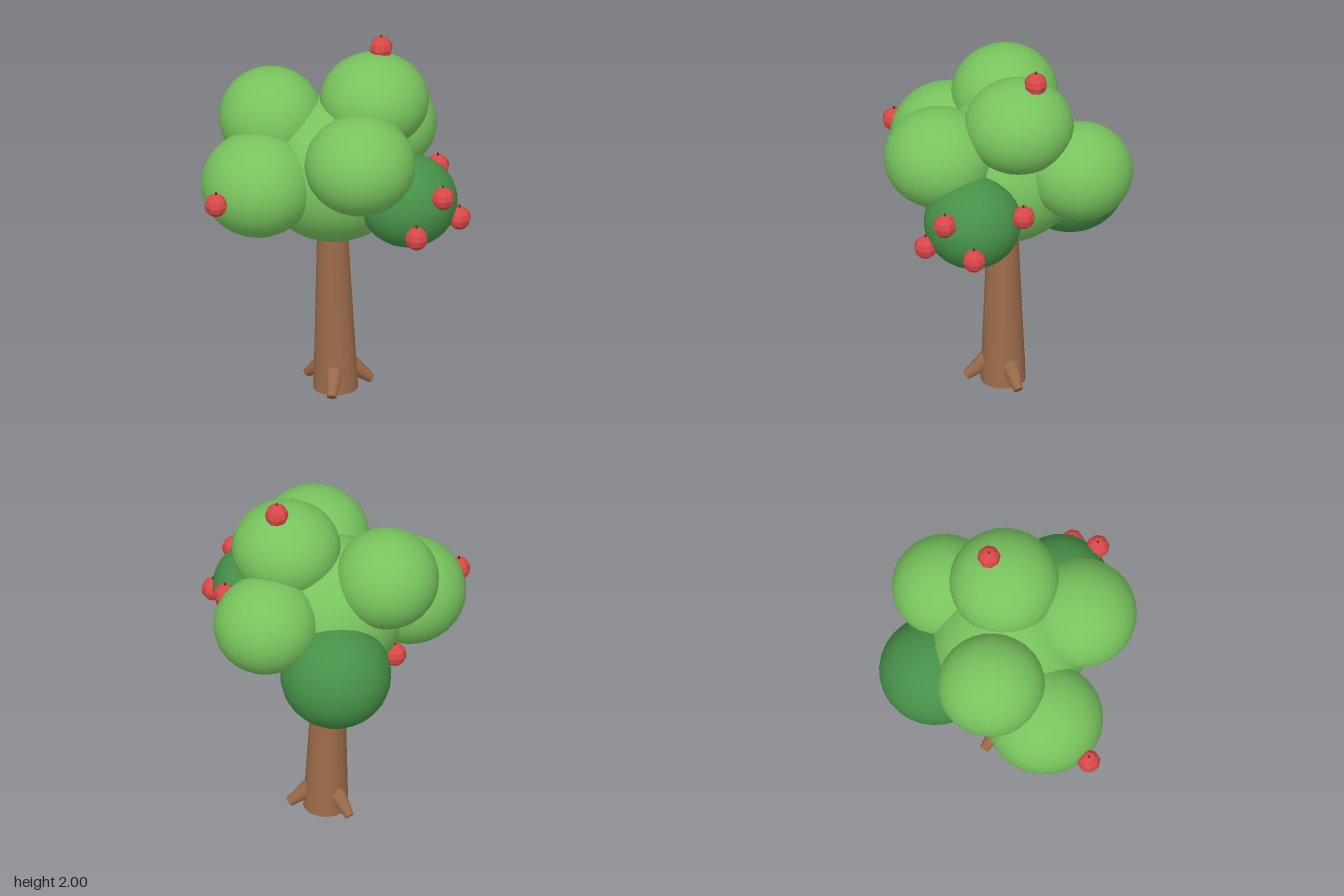
import * as THREE from 'three';

const paint = (color, flatShading = false) => new THREE.MeshStandardMaterial({ color, flatShading });

export function createModel() {
  const tree = new THREE.Group();
  tree.name = 'appleTree';
  const bark = paint(0x9c6b4a), leaf = paint(0x78c45e), darkLeaf = paint(0x469148);
  const red = paint(0xd94848, true), stemBrown = paint(0x4a3020);

  const add = (parent, name, geometry, material) => {
    const mesh = new THREE.Mesh(geometry, material);
    mesh.name = name;
    parent.add(mesh);
    return mesh;
  };

  // Tapered cylinder between two points
  const taper = (name, from, to, r0, r1, sides) => {
    const a = new THREE.Vector3(...from), b = new THREE.Vector3(...to);
    const dir = b.clone().sub(a);
    const mesh = add(tree, name, new THREE.CylinderGeometry(r1, r0, dir.length(), sides), bark);
    mesh.position.copy(a).add(b).multiplyScalar(0.5);
    mesh.quaternion.setFromUnitVectors(new THREE.Vector3(0, 1, 0), dir.normalize());
  };

  // Trunk, leaning very slightly
  taper('trunk', [0.08, 0.005, 0.01], [0.06, 1.05, 0.005], 0.12, 0.077, 16);

  // Three root stubs around the base
  for (const degrees of [0, 110, 234]) {
    const a = THREE.MathUtils.degToRad(degrees);
    const at = (out, y) => [0.078 + Math.cos(a) * out, y, 0.01 + Math.sin(a) * out];
    taper('root', at(0.07, 0.135), at(0.195, 0.03), 0.055, 0.026, 8);
  }

  // Foliage clumps: name, centre, radii, material
  const clumps = [
    ['crownCore', [0.07, 1.28, 0], [0.41, 0.39, 0.41], leaf],
    ['frontClump', [0.115, 1.47, 0.4], [0.295, 0.265, 0.295], leaf],
    ['sideClump', [-0.375, 1.29, 0.12], [0.3, 0.28, 0.31], leaf],
    ['upperBackClump', [-0.235, 1.55, -0.145], [0.277, 0.265, 0.287], leaf],
    ['topClump', [0.29, 1.66, 0.015], [0.29, 0.25, 0.292], leaf],
    ['backClump', [0.42, 1.38, -0.285], [0.278, 0.26, 0.28], leaf],
    ['lowFrontClump', [0.395, 1.205, 0.335], [0.263, 0.248, 0.258], darkLeaf],
    ['lowBackClump', [0.055, 1.115, -0.395], [0.295, 0.283, 0.3], darkLeaf],
  ];
  const ball = new THREE.SphereGeometry(1, 28, 20);
  for (const [name, centre, radii, material] of clumps) {
    const mesh = add(tree, name, ball, material);
    mesh.position.set(...centre);
    mesh.scale.set(...radii);
  }

  // Apples with short stems
  const fruit = new THREE.SphereGeometry(0.063, 8, 6);
  const stem = new THREE.CylinderGeometry(0.005, 0.006, 0.035, 5);
  const spots = [
    [0.345, 1.925, -0.058], [-0.65, 1.283, 0.31], [0.53, 1.303, 0.56], [0.648, 1.123, 0.443],
    [0.374, 1.103, 0.6], [0.607, 1.293, 0.135], [-0.28, 1.035, -0.11],
  ];
  for (const spot of spots) {
    const apple = new THREE.Group();
    apple.name = 'apple';
    apple.position.set(...spot);
    add(apple, 'appleFruit', fruit, red);
    add(apple, 'appleStem', stem, stemBrown).position.y = 0.0575;
    tree.add(apple);
  }
  return tree;
}
